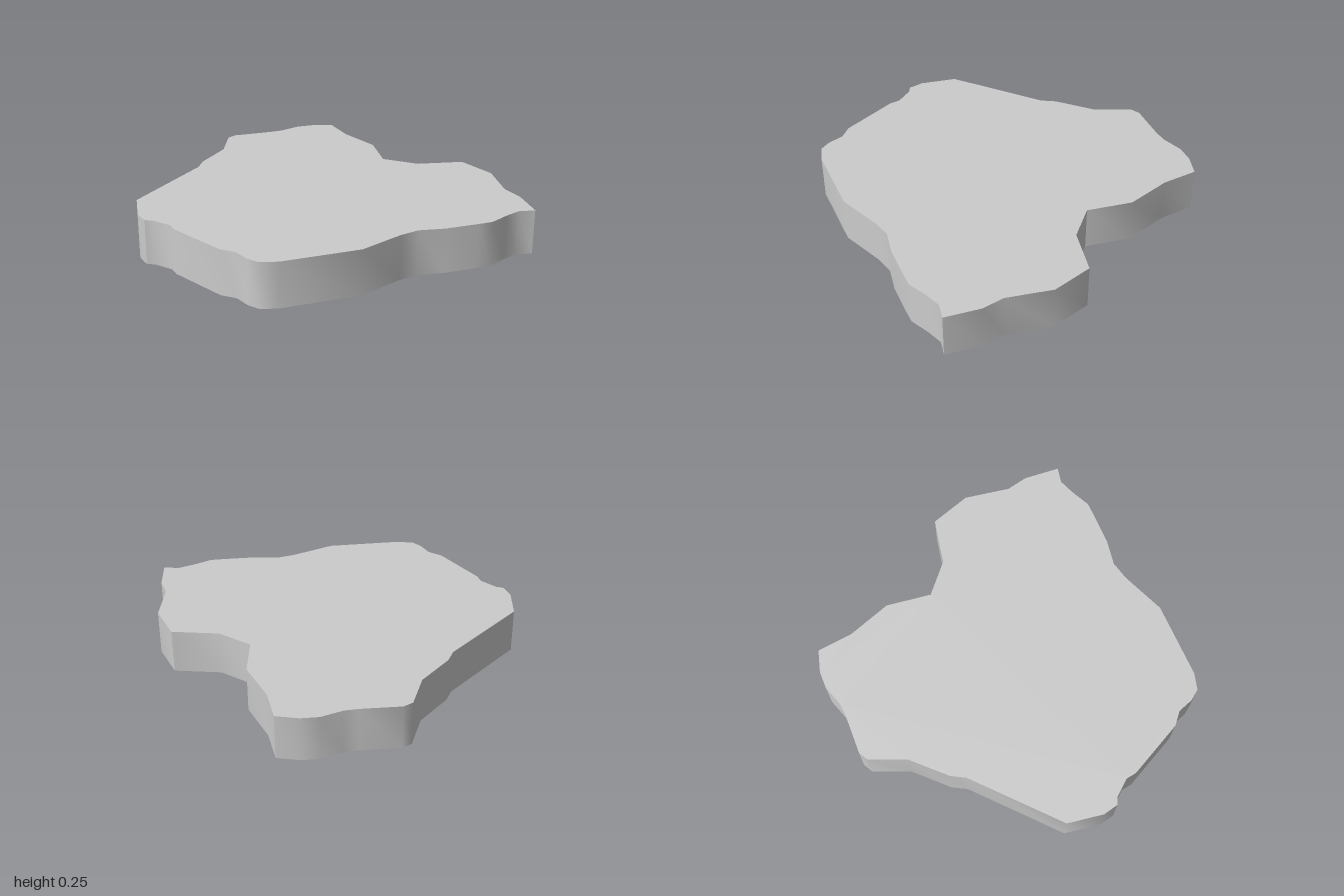
import * as THREE from 'three';
import { toCreasedNormals } from 'three/addons/utils/BufferGeometryUtils.js';

const HEIGHT = 0.247;

// Slab outline as [x, z], starting at the back left-hand corner and running round
const OUTLINE = [
  // back edge
  [-0.174, -0.898], [-0.12, -0.922], [0.099, -0.901], [0.174, -0.901], [0.297, -0.933], [0.393, -0.925], [0.511, -0.882],
  // +x side with its notch
  [0.519, -0.684], [0.588, -0.433], [0.537, -0.187], [0.687, -0.037], [0.939, 0.032], [0.998, 0.257], [0.939, 0.503], [0.957, 0.626], [0.928, 0.821],
  // front edge
  [0.842, 0.799], [0.751, 0.826], [0.644, 0.869], [0.564, 0.866], [0.382, 0.853], [0.243, 0.821], [0.136, 0.84], [-0.11, 0.922], [-0.532, 0.898], [-0.623, 0.866],
  // -x side
  [-0.66, 0.807], [-0.684, 0.719], [-0.746, 0.658], [-0.88, 0.342], [-0.885, 0.283], [-0.949, 0.193], [-0.987, 0.171], [-1.0, 0.086], [-0.955, -0.112],
  [-0.5, -0.471], [-0.452, -0.545], [-0.27, -0.706],
];

export function createModel() {
  const group = new THREE.Group();
  group.name = 'irregularSlab';

  // Flat slab: outline extruded, then laid down so its thickness runs up y
  const shape = new THREE.Shape(OUTLINE.map(([x, z]) => new THREE.Vector2(x, -z)));
  const extruded = new THREE.ExtrudeGeometry(shape, { depth: HEIGHT, bevelEnabled: false });
  extruded.rotateX(-Math.PI / 2);

  // Gentle bends in the wall shade smoothly, sharp corners stay crisp
  const geometry = toCreasedNormals(extruded, THREE.MathUtils.degToRad(43));
  const slab = new THREE.Mesh(geometry, new THREE.MeshStandardMaterial({ color: 0xcccccc }));
  slab.name = 'slab';
  group.add(slab);
  return group;
}
